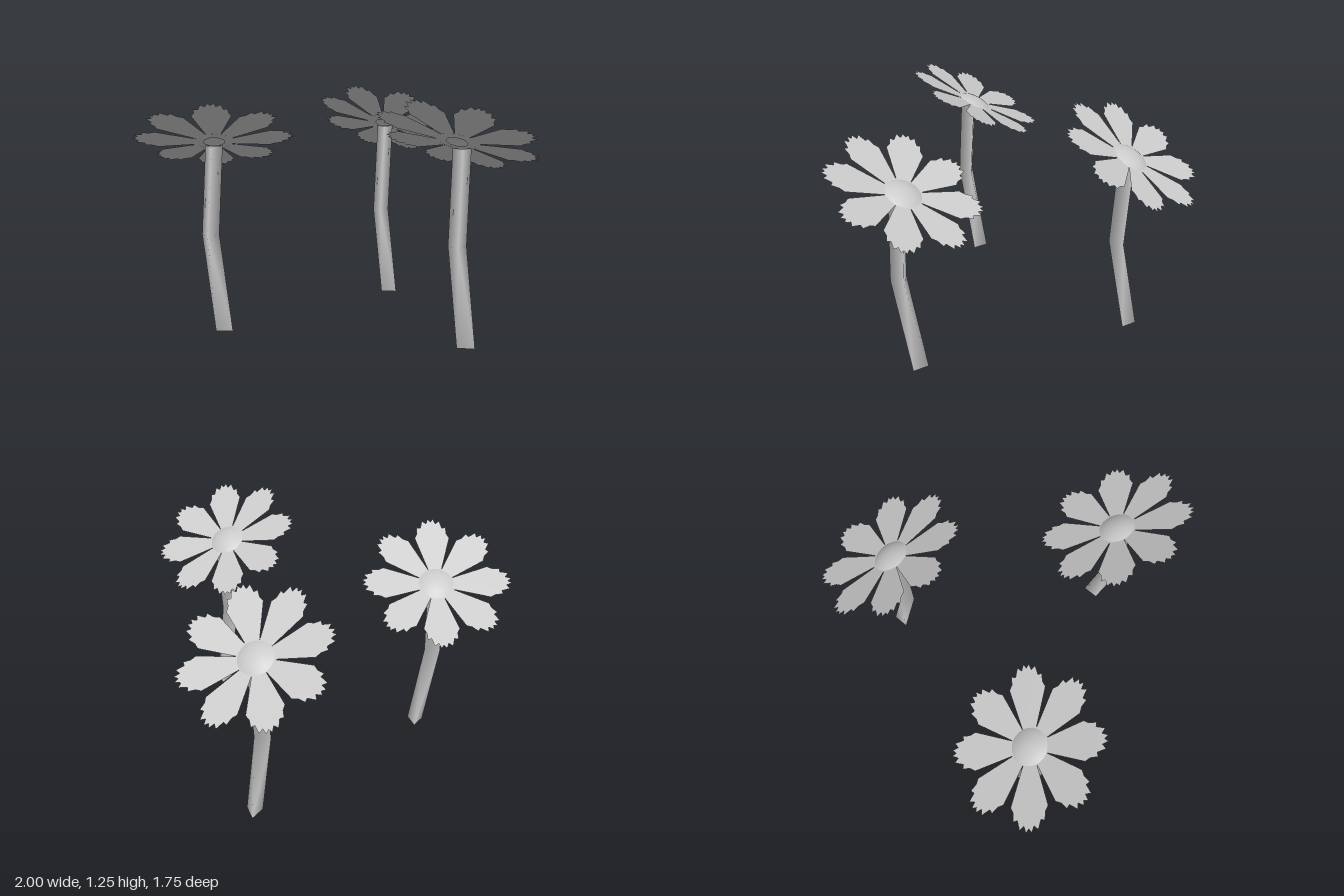
import * as THREE from 'three';

const thin = new THREE.MeshStandardMaterial({ color: 0xcccccc, side: THREE.DoubleSide });

// Each flower: stem points from base to top, head centre, head slopes along x and z, turn of the petals
const FLOWERS = [
  { name: 'rightFlower', stem: [[-0.587, 0, 0.517], [-0.628, 0.51, 0.588], [-0.616, 0.96, 0.553]],
    head: [-0.622, 0.975, 0.528], slope: [0.22, 0.45], turn: 20 },
  { name: 'backFlower', stem: [[-0.012, 0, -0.553], [-0.043, 0.51, -0.477], [-0.028, 1.01, -0.51]],
    head: [-0.033, 1.02, -0.515], slope: [-0.06, 0.59], turn: 14 },
  { name: 'leftFlower', stem: [[0.662, 0, 0.432], [0.632, 0.51, 0.513], [0.642, 0.975, 0.482]],
    head: [0.612, 1.0, 0.47], slope: [-0.12, 0.5], turn: 21 },
];

// Half outline of a petal: [half width, distance from the head's centre]
const PETAL = [
  [0.025, 0.05], [0.04, 0.1], [0.096, 0.285], [0.082, 0.312], [0.081, 0.352],
  [0.06, 0.348], [0.048, 0.394], [0.026, 0.376], [0.015, 0.407], [0, 0.388],
];

// Open three-sided stem; the rings follow the stem points and the base ring is turned by 60 degrees
function makeStem(points) {
  const geo = new THREE.CylinderGeometry(0.051, 0.051, 2, 3, 2, true, Math.PI * 0.75);
  const pos = geo.attributes.position;
  const v = new THREE.Vector3();
  const up = new THREE.Vector3(0, 1, 0);
  for (let i = 0; i < pos.count; i++) {
    const ring = Math.round(pos.getY(i)) + 1;
    v.set(pos.getX(i), 0, pos.getZ(i));
    if (ring === 0) {
      v.applyAxisAngle(up, Math.PI / 3);
    }
    const [x, y, z] = points[ring];
    pos.setXYZ(i, v.x + x, y, v.z + z);
    // smooth normals point away from the stem's axis
    v.normalize();
    geo.attributes.normal.setXYZ(i, v.x, v.y, v.z);
  }
  const mesh = new THREE.Mesh(geo, thin);
  mesh.name = 'stem';
  return mesh;
}

// Flat petal with a toothed tip, raised slightly outwards
function makePetalGeometry() {
  const left = PETAL.slice(0, -1).reverse().map(([w, r]) => [-w, r]);
  const outline = [...PETAL, ...left].map(([x, y]) => new THREE.Vector2(x, y));
  const geo = new THREE.ShapeGeometry(new THREE.Shape(outline));
  geo.rotateX(-Math.PI / 2 + THREE.MathUtils.degToRad(4.5));
  return geo;
}

// Shallow cap of a large sphere, its rim resting on the petals
function makeCentre() {
  const radius = 0.2;
  const angle = 0.5;
  const geo = new THREE.SphereGeometry(radius, 24, 6, 0, Math.PI * 2, 0, angle);
  geo.translate(0, 0.006 - radius * Math.cos(angle), 0);
  const mesh = new THREE.Mesh(geo, thin);
  mesh.name = 'flowerCentre';
  return mesh;
}

// Head: the domed centre and a ring of eight petals
function makeHead({ head, slope, turn }, petalGeo) {
  const group = new THREE.Group();
  group.name = 'flowerHead';
  group.add(makeCentre());
  for (let i = 0; i < 8; i++) {
    const petal = new THREE.Mesh(petalGeo, thin);
    petal.name = 'petal';
    petal.rotation.y = -THREE.MathUtils.degToRad(turn + i * 45);
    group.add(petal);
  }
  const normal = new THREE.Vector3(-slope[0], 1, -slope[1]).normalize();
  group.quaternion.setFromUnitVectors(new THREE.Vector3(0, 1, 0), normal);
  group.position.set(...head);
  return group;
}

export function createModel() {
  const model = new THREE.Group();
  model.name = 'flowers';
  const petalGeo = makePetalGeometry();
  for (const spec of FLOWERS) {
    const flower = new THREE.Group();
    flower.name = spec.name;
    flower.add(makeStem(spec.stem), makeHead(spec, petalGeo));
    model.add(flower);
  }
  return model;
}
